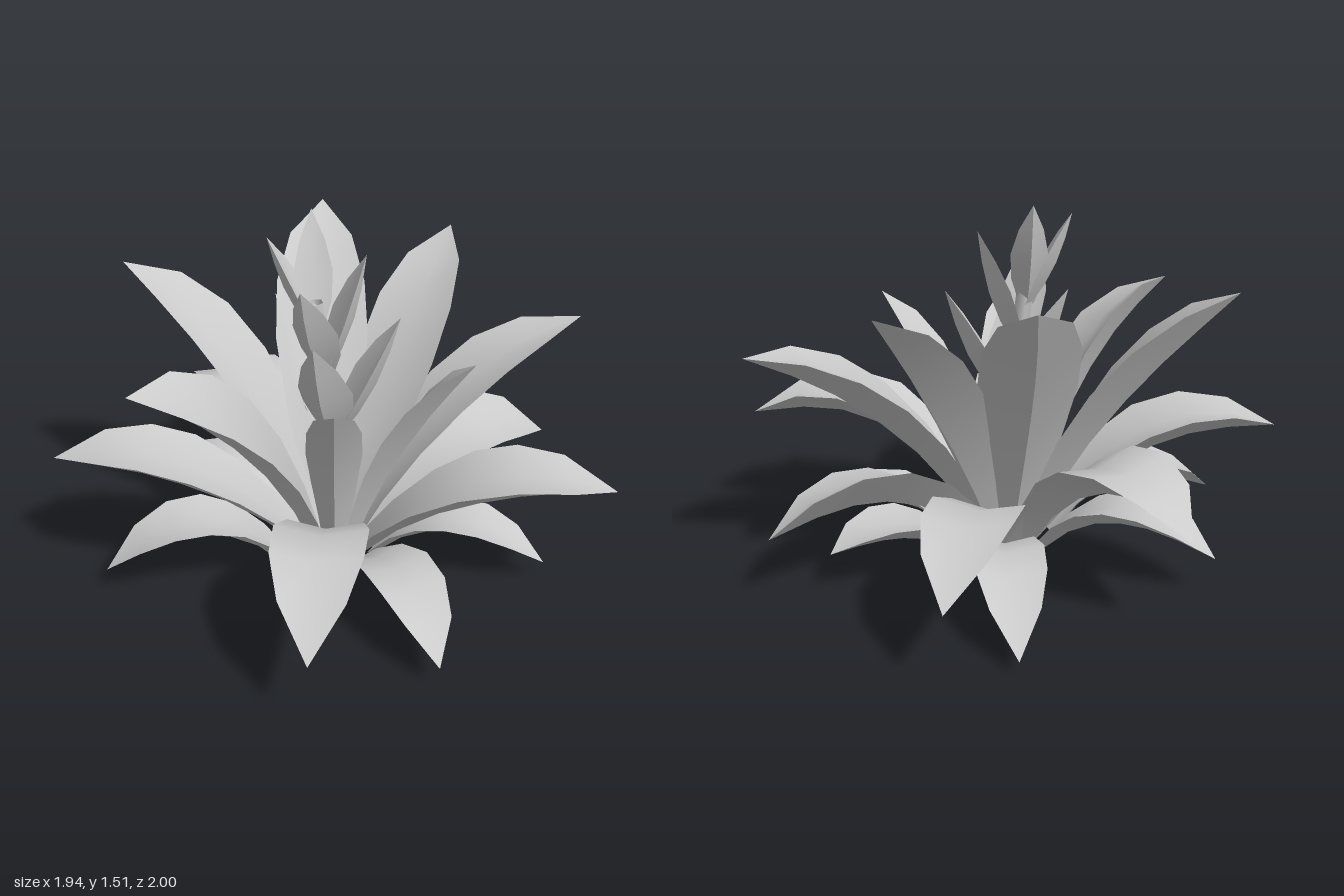
import * as THREE from 'three';
import { toCreasedNormals } from 'three/addons/utils/BufferGeometryUtils.js';

const material = new THREE.MeshStandardMaterial({ color: 0xcccccc, side: THREE.DoubleSide });
const UP = new THREE.Vector3(0, 1, 0);

// Keeled leaf: shallow channel on top, deep ridge below, following a bent path to a pointed tip.
// bow pushes the bend sideways, roll tips the blade about its path.
function leafGeometry(base, control, tip, width, profile, bow = 0, roll = 0) {
  const across = tip.clone().sub(base).setY(0).normalize().cross(UP);
  const bend = control.clone().addScaledVector(across, bow);
  const curve = new THREE.QuadraticBezierCurve3(base, bend, tip);
  const n = profile.length;
  const positions = [];
  const index = [];
  for (let i = 0; i < n; i++) {
    const t = i / n;
    const p = curve.getPoint(t);
    const tangent = curve.getTangent(t);
    const normal = across.clone().cross(tangent).normalize().applyAxisAngle(tangent, roll);
    const side = tangent.clone().cross(normal);
    const w = width * profile[i];
    // left edge, channel, right edge, ridge
    for (const [s, u] of [[-0.5, 0.14], [0, 0.04], [0.5, 0.14], [0, -0.21]]) {
      const v = p.clone().addScaledVector(side, -s * w).addScaledVector(normal, u * w);
      positions.push(v.x, v.y, v.z);
    }
  }
  positions.push(tip.x, tip.y, tip.z);
  for (let i = 0; i < n; i++) {
    for (let k = 0; k < 4; k++) {
      const a = i * 4 + k;
      const b = i * 4 + ((k + 1) % 4);
      if (i === n - 1) index.push(a, n * 4, b);
      else index.push(a, a + 4, b, b, a + 4, b + 4);
    }
  }
  index.push(0, 1, 3, 1, 2, 3);
  const geometry = new THREE.BufferGeometry();
  geometry.setAttribute('position', new THREE.Float32BufferAttribute(positions, 3));
  geometry.setIndex(index);
  return toCreasedNormals(geometry, 0.7);
}

export function createModel() {
  const model = new THREE.Group();
  const centre = new THREE.Vector3(-0.08, 0, 0.03);

  // Each ring: root radius along x and z, root height, how far out the bend sits,
  // leaves as [tip x, y, z, bend height, width, bow, roll]
  const rings = [
    { name: 'lowerLeaf', radius: [0.22, 0.13], height: 0.02, reach: 0.42, leaves: [
      [-0.35, 0.17, -0.86, 0.46, 0.28],
      [-0.96, 0.13, -0.37, 0.5, 0.3],
      [0.6, 0.06, -0.71, 0.45, 0.28],
      [-0.35, 0.1, 0.92, 0.42, 0.28, -0.1],
      [0.43, 0.1, 0.76, 0.4, 0.26],
      [0.73, 0.18, 0.22, 0.36, 0.28],
    ] },
    { name: 'middleLeaf', radius: [0.09, 0.09], height: 0.03, reach: 0.46, leaves: [
      [0, 0.42, -1.0, 0.84, 0.4],
      [-0.97, 0.52, -0.69, 0.7, 0.38, -0.12],
      [-0.85, 0.3, 0.76, 0.78, 0.36],
      [0.54, 0.52, 1.0, 0.8, 0.38, 0.28],
      [0.97, 0.31, 0.28, 0.69, 0.36, 0, 0.3],
      [0.87, 0.32, -0.61, 0.7, 0.36],
    ] },
    { name: 'upperLeaf', radius: [0.06, 0.06], height: 0.03, reach: 0.38, leaves: [
      [-0.5, 1.22, -0.79, 0.95, 0.36, 0.08],
      [-0.97, 1.06, -0.07, 0.97, 0.36, -0.11, -0.4],
      [0.45, 1.3, -0.64, 1.0, 0.39, -0.06],
      [0.76, 1.24, -0.15, 0.98, 0.36, 0.1],
      [0.9, 0.98, 0.48, 0.9, 0.36, 0.06],
      [0.12, 1.07, 0.6, 0.8, 0.22],
      [-0.45, 1.0, 0.45, 0.77, 0.22],
    ] },
  ];
  const leafProfile = [0.38, 0.6, 0.84, 1, 0.96, 0.68];
  for (const ring of rings) {
    ring.leaves.forEach(([x, y, z, bend, width, bow, roll], i) => {
      const tip = new THREE.Vector3(x, y, z);
      const out = tip.clone().sub(centre).setY(0).normalize();
      const [rx, rz] = ring.radius;
      const base = new THREE.Vector3(centre.x + out.x * rx, ring.height, centre.z + out.z * rz);
      const control = base.clone().lerp(tip, ring.reach).setY(bend);
      const leaf = new THREE.Mesh(leafGeometry(base, control, tip, width, leafProfile, bow, roll), material);
      leaf.name = ring.name + (i + 1);
      model.add(leaf);
    });
  }

  // Flower stalk
  const stalkPath = new THREE.CatmullRomCurve3([
    new THREE.Vector3(-0.09, 0.03, 0.03),
    new THREE.Vector3(-0.12, 0.6, 0.06),
    new THREE.Vector3(-0.15, 1.2, 0),
  ]);
  const stalk = new THREE.Mesh(new THREE.TubeGeometry(stalkPath, 6, 0.035, 6), material);
  stalk.name = 'flowerStalk';
  model.add(stalk);

  // Bracts in spreading tiers up the stalk: root point, then tips
  const tiers = [
    { root: [-0.13, 0.62, 0.08], width: 0.22, tips: [[0.09, 1.14, 0.23], [-0.35, 1.15, 0.22], [-0.18, 1.18, -0.2]] },
    { root: [-0.14, 0.9, 0.04], width: 0.19, tips: [[0.01, 1.39, 0.12], [-0.32, 1.33, 0.12]] },
    { root: [-0.15, 1.08, 0], width: 0.15, tips: [[-0.05, 1.52, -0.13], [-0.27, 1.46, -0.13]] },
  ];
  const bractProfile = [0.4, 0.9, 1, 0.65];
  tiers.forEach(({ root, width, tips }, row) => {
    tips.forEach((point, i) => {
      const base = new THREE.Vector3(...root);
      const tip = new THREE.Vector3(...point);
      const control = base.clone().lerp(tip, 0.5);
      const bract = new THREE.Mesh(leafGeometry(base, control, tip, width, bractProfile), material);
      bract.name = `bract${row + 1}_${i + 1}`;
      model.add(bract);
    });
  });

  return model;
}
